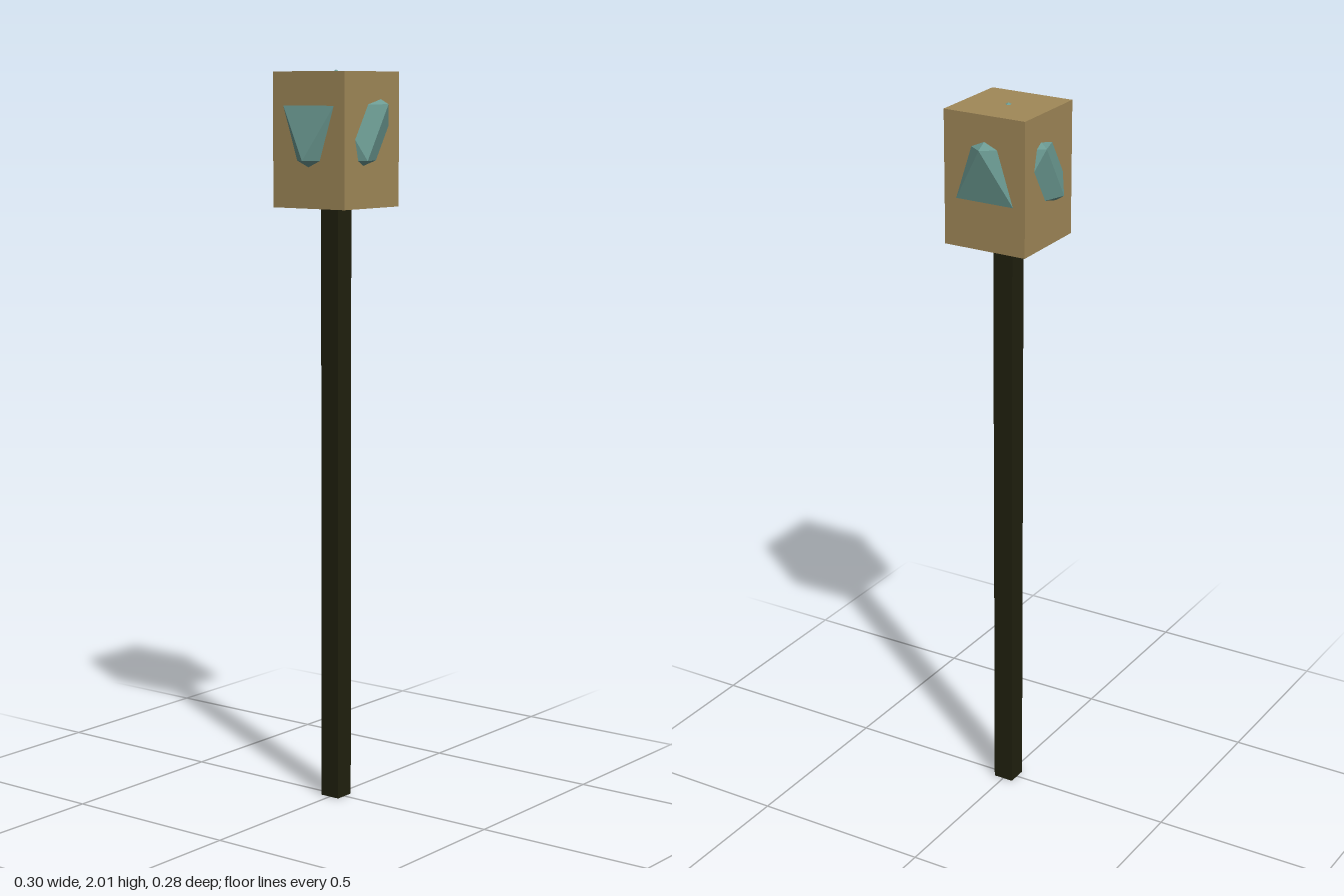
import * as THREE from 'three';

const paint = (name, color) => {
  const m = new THREE.MeshStandardMaterial({ color, flatShading: true });
  m.name = name;
  return m;
};

export function createModel() {
  const group = new THREE.Group();
  group.name = 'lampPost';
  const add = (name, geometry, material, y) => {
    const mesh = new THREE.Mesh(geometry, material);
    mesh.name = name;
    mesh.position.y = y;
    group.add(mesh);
    return mesh;
  };

  // Square post, ending at the underside of the head
  add('post', new THREE.BoxGeometry(0.058, 1.64, 0.058), paint('dark wood', 0x20200e), 0.82);

  // Block head
  add('head', new THREE.BoxGeometry(0.24, 0.36, 0.24), paint('tan wood', 0xa08858), 1.82);

  // Faceted crystal, tilted so its edges poke through the four sides
  const crystal = add('crystal', new THREE.IcosahedronGeometry(0.165, 0), paint('teal crystal', 0x6b9a92), 1.84);
  crystal.rotation.z = -Math.atan(0.618);

  return group;
}
